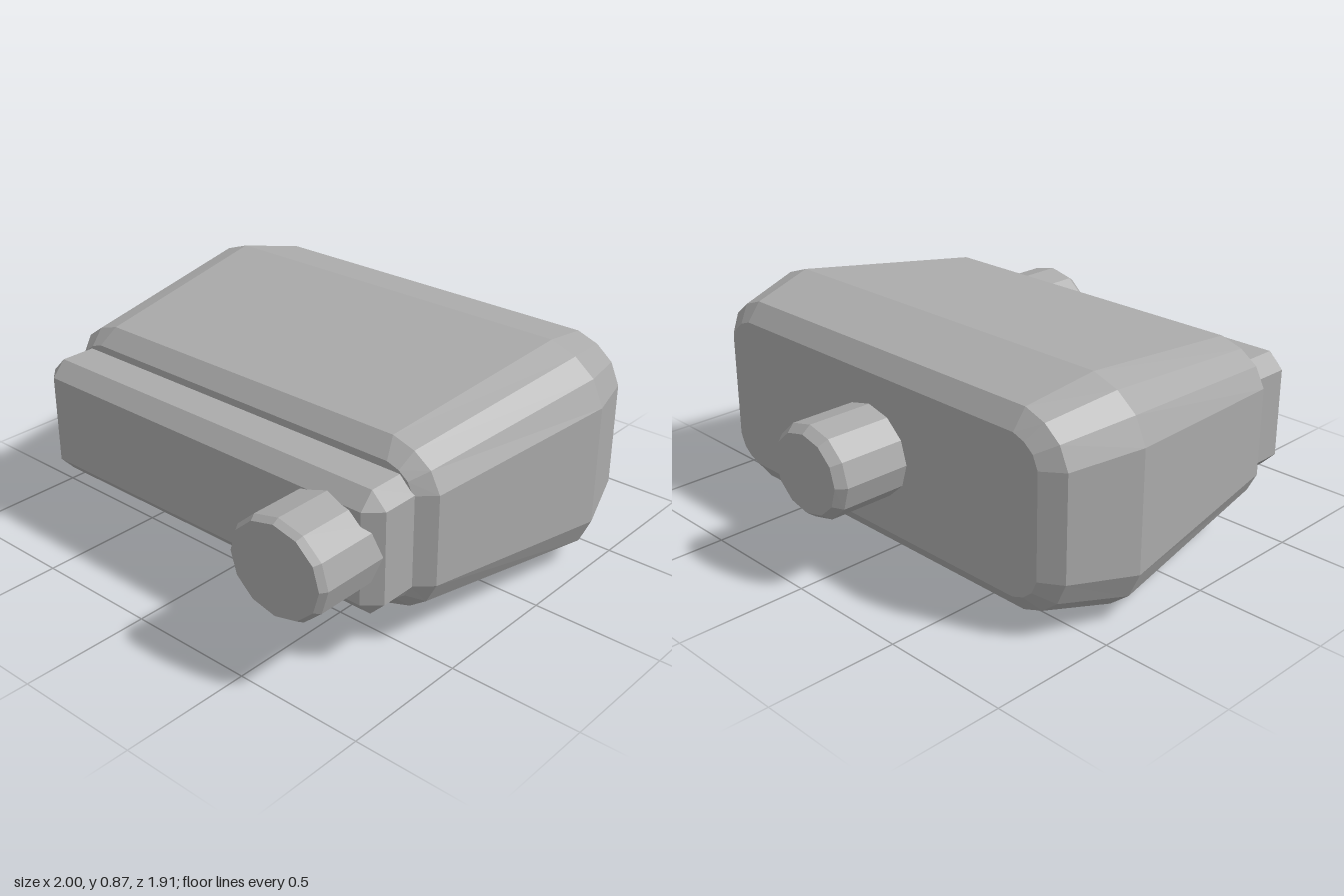
import * as THREE from 'three';

const CY = 0.433; // height of the central axis
const ROUND = [[0, 1], [0.2, 0.5], [0.55, 0.18], [1, 0]];
const CHAMFER = [[0, 1], [1, 0]];

// Rectangle with cut corners, counter-clockwise; corner gives inset fractions
function rectRing([z, w, h, ix, iy], corner) {
  const pts = [];
  [[1, 1], [-1, 1], [-1, -1], [1, -1]].forEach(([sx, sy]) => {
    const quarter = corner.map(([fx, fy]) =>
      new THREE.Vector3(sx * (w - ix * fx), CY + sy * (h - iy * fy), z));
    if (sx * sy < 0) quarter.reverse();
    pts.push(...quarter);
  });
  return pts;
}

function ellipseRing([z, rx, ry], cx, cy, sides) {
  return Array.from({ length: sides }, (_, i) => {
    const a = (i / sides) * Math.PI * 2;
    return new THREE.Vector3(cx + rx * Math.cos(a), cy + ry * Math.sin(a), z);
  });
}

// Flat-faced skin over rings ordered from back to front, capped at both ends
function loft(rings) {
  const verts = [];
  const area = new THREE.Triangle();
  const tri = (a, b, c) => {
    if (area.set(a, b, c).getArea() > 1e-7) [a, b, c].forEach((p) => verts.push(p.x, p.y, p.z));
  };
  const n = rings[0].length;
  for (let r = 0; r < rings.length - 1; r++) {
    const p = rings[r], q = rings[r + 1];
    for (let i = 0; i < n; i++) {
      const j = (i + 1) % n;
      tri(p[i], p[j], q[j]);
      tri(p[i], q[j], q[i]);
    }
  }
  const back = rings[0], front = rings[rings.length - 1];
  for (let i = 1; i < n - 1; i++) {
    tri(back[0], back[i + 1], back[i]);
    tri(front[0], front[i], front[i + 1]);
  }
  const g = new THREE.BufferGeometry();
  g.setAttribute('position', new THREE.Float32BufferAttribute(verts, 3));
  g.computeVertexNormals();
  return g;
}

export function createModel() {
  const group = new THREE.Group();
  const grey = new THREE.MeshStandardMaterial({ color: 0xaaaaaa });
  grey.name = 'grey';
  const add = (name, rings) => {
    const mesh = new THREE.Mesh(loft(rings), grey);
    mesh.name = name;
    group.add(mesh);
  };

  // Tapered main housing: z, half width, half height, corner insets
  add('housing', [
    [-0.66, 0.83, 0.3, 0.11, 0.1],
    [-0.605, 0.91, 0.372, 0.19, 0.17],
    [-0.34, 1, 0.433, 0.23, 0.2],
    [0.46, 0.89, 0.328, 0.2, 0.155],
    [0.52, 0.825, 0.263, 0.11, 0.09],
  ].map((s) => rectRing(s, ROUND)));

  // Chamfered front plate
  add('frontPlate', [
    [0.5, 0.83, 0.235, 0.06, 0.06],
    [0.66, 0.83, 0.235, 0.06, 0.06],
    [0.715, 0.77, 0.175, 0, 0],
  ].map((s) => rectRing(s, CHAMFER)));

  // Round stubs with a small bevel on the free end
  add('frontKnob', [[0.6, 0.21, 0.185], [0.93, 0.21, 0.185], [0.955, 0.193, 0.17]]
    .map((s) => ellipseRing(s, 0.615, 0.44, 12)));
  add('rearConnector', [[-0.955, 0.167, 0.15], [-0.92, 0.195, 0.176], [-0.62, 0.195, 0.176]]
    .map((s) => ellipseRing(s, 0, 0.436, 12)));

  return group;
}
